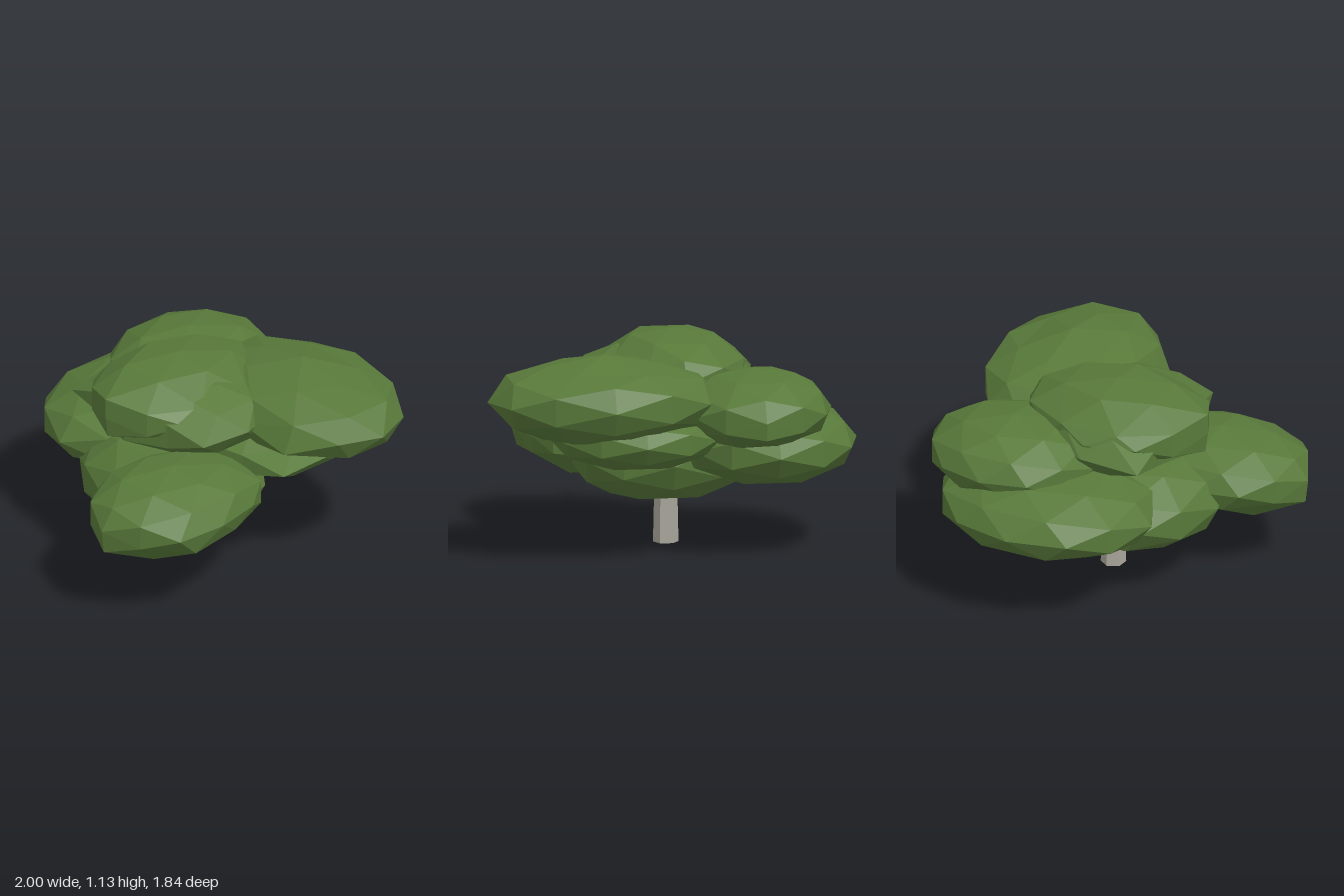
import * as THREE from 'three';

// The same corner move on both the +x and -x side
const both = (from, to) => [1, -1].map((s) => [from, to].map(([x, y, z]) => [s * x, y, z]));

export function createModel() {
  const tree = new THREE.Group();
  tree.name = 'tree';

  const leafGreen = new THREE.MeshStandardMaterial({ color: 0x58793a, flatShading: true });
  leafGreen.name = 'leafGreen';
  const barkGrey = new THREE.MeshStandardMaterial({ color: 0xaaa69c, flatShading: true });
  barkGrey.name = 'barkGrey';

  // Faceted, flattened leaf clump; each tug moves one corner of the unit ball [from, to]
  function clump(name, center, radii, tugs = []) {
    const geometry = new THREE.IcosahedronGeometry(1, 1);
    const p = geometry.attributes.position;
    const v = new THREE.Vector3();
    for (let i = 0; i < p.count; i++) {
      v.fromBufferAttribute(p, i);
      const tug = tugs.find(([from]) => v.distanceTo(new THREE.Vector3(...from)) < 0.05);
      if (tug) p.setXYZ(i, ...tug[1]);
    }
    geometry.scale(...radii);
    geometry.computeVertexNormals();
    const mesh = new THREE.Mesh(geometry, leafGreen);
    mesh.name = name;
    mesh.position.set(...center);
    tree.add(mesh);
  }

  // Canopy, lowest clumps first
  clump('bottomFoliage', [-0.01, 0.46, 0.09], [0.52, 0.26, 0.48]);
  clump('frontFoliage', [0.34, 0.54, 0.41], [0.385, 0.21, 0.51], [
    [[0.851, 0, 0.526], [0.96, 0, 0.57]],
    [[0, -0.526, 0.851], [0, -0.6, 0.97]],
    [[0, -0.526, -0.851], [0, -0.35, -1.02]],
    [[0.5, 0.309, -0.809], [0.62, 0.309, -0.8]],
    [[0.5, -0.309, -0.809], [0.62, -0.309, -0.8]],
    [[0.809, -0.5, 0.309], [0.9, -0.57, 0.309]],
    ...both([0.309, -0.809, 0.5], [0.33, -0.97, 0.5]),
    ...both([0.309, -0.809, -0.5], [0.33, -0.95, -0.5]),
  ]);
  clump('rightFoliage', [-0.51, 0.56, -0.18], [0.49, 0.225, 0.61]);
  clump('middleFoliage', [0.2, 0.64, -0.37], [0.47, 0.18, 0.46], [
    [[0, 0, 1], [0, 0.5, 1]],
    [[0.851, 0, 0.526], [1.02, 0, 0.66]],
  ]);
  clump('backRightFoliage', [-0.42, 0.77, -0.42], [0.41, 0.215, 0.47], [
    [[0, -0.526, -0.851], [0, -0.42, -0.99]],
  ]);
  clump('backLeftFoliage', [0.38, 0.85, -0.48], [0.62, 0.24, 0.44], [
    [[0.5, -0.309, 0.809], [0.5, -0.309, 0.95]],
    ...both([0.309, 0.809, 0.5], [0.309, 0.76, 0.5]),
    ...both([0.309, 0.809, -0.5], [0.309, 0.68, -0.5]),
    ...both([0.526, 0.851, 0], [0.48, 0.77, 0]),
  ]);
  clump('upperFoliage', [-0.01, 0.86, 0.01], [0.5, 0.22, 0.43], [
    [[0, 0.526, 0.851], [0, 0.526, 0.99]],
    [[0, -0.526, 0.851], [0, -0.4, 1]],
    [[-0.851, 0, 0.526], [-1, -0.08, 0.78]],
    [[0.851, 0, 0.526], [0.94, 0, 0.68]],
  ]);
  clump('topFoliage', [-0.05, 0.92, 0.01], [0.42, 0.21, 0.52], [
    [[0, 0.526, 0.851], [0, 0.526, 1]],
    [[0, -0.526, 0.851], [0, -0.526, 0.97]],
    [[-0.851, 0, -0.526], [-0.8, 0, -0.47]],
    [[0.851, 0, -0.526], [0.77, 0, -0.45]],
    [[0.5, 0.309, -0.809], [0.43, 0.309, -0.72]],
    ...both([0.809, 0.5, 0.309], [0.85, 0.3, 0.309]),
    ...both([0.809, 0.5, -0.309], [0.85, 0.3, -0.309]),
  ]);

  // Six-sided trunk running up into the canopy
  const trunk = new THREE.Mesh(new THREE.CylinderGeometry(0.056, 0.067, 0.5, 6), barkGrey);
  trunk.name = 'trunk';
  trunk.position.set(-0.01, 0.25, -0.045);
  trunk.rotation.y = 0.42;
  tree.add(trunk);

  return tree;
}
